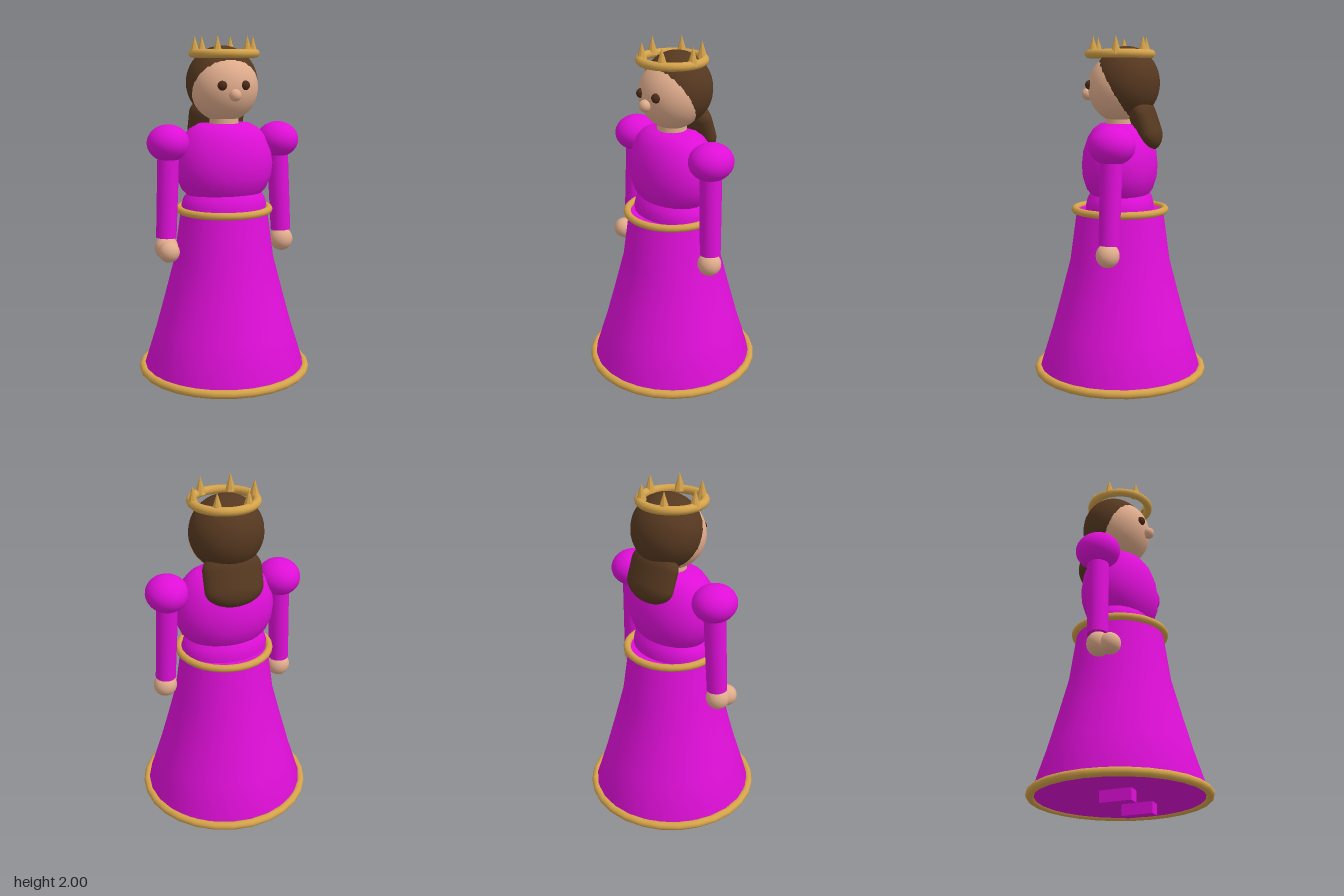
import * as THREE from 'three';
import { toCreasedNormals } from 'three/addons/utils/BufferGeometryUtils.js';

const mat = (name, color) => {
  const m = new THREE.MeshStandardMaterial({ color });
  m.name = name;
  return m;
};

export function createModel() {
  const dress = mat('magenta dress', 0xdf0fd8);
  const gold = mat('gold trim', 0xd4a24a);
  const skin = mat('skin', 0xe0ac8c);
  const brown = mat('brown hair', 0x563820);
  const dark = mat('dark brown eyes', 0x4a2a18);

  const group = new THREE.Group();
  group.name = 'crownedLady';

  const add = (name, geometry, material, x = 0, y = 0, z = 0) => {
    const mesh = new THREE.Mesh(geometry, material);
    mesh.name = name;
    mesh.position.set(x, y, z);
    group.add(mesh);
    return mesh;
  };
  const ellipsoid = (name, material, [x, y, z], [rx, ry, rz], seg = 28) => {
    const mesh = add(name, new THREE.SphereGeometry(1, seg, Math.ceil(seg * 0.7)), material, x, y, z);
    mesh.scale.set(rx, ry, rz);
    return mesh;
  };
  // Revolved profile, flattened front to back by depth
  const lathe = (name, points, depth) => {
    const g = new THREE.LatheGeometry(points.map(p => new THREE.Vector2(...p)), 24);
    g.scale(1, 1, depth);
    return add(name, toCreasedNormals(g, 0.65), dress);
  };
  const ring = (name, radius, tube, y, seg) => {
    const g = new THREE.TorusGeometry(radius, tube, 12, seg).rotateX(Math.PI / 2);
    return add(name, g, gold, 0, y, 0);
  };
  const limb = (name, a, b, ra, rb, material) => {
    const from = new THREE.Vector3(...a), to = new THREE.Vector3(...b);
    const dir = to.clone().sub(from);
    const mesh = add(name, new THREE.CylinderGeometry(rb, ra, dir.length(), 20), material);
    mesh.position.copy(from).addScaledVector(dir, 0.5);
    mesh.quaternion.setFromUnitVectors(new THREE.Vector3(0, 1, 0), dir.normalize());
    return mesh;
  };

  // Gown
  lathe('skirt', [[0, 0.065], [0.475, 0.065], [0.475, 0.08], [0.4, 0.32], [0.345, 0.52], [0.29, 0.73],
    [0.25, 1.02], [0, 1.02]], 1);
  lathe('waist', [[0.25, 1.0], [0.25, 1.05], [0.238, 1.09], [0.205, 1.13], [0, 1.14]], 0.78);
  lathe('bodice', [[0, 1.105], [0.215, 1.105], [0.25, 1.14], [0.28, 1.21], [0.287, 1.28], [0.276, 1.36],
    [0.24, 1.44], [0.2, 1.485], [0.15, 1.512], [0, 1.515]], 0.755);
  ring('hemTrim', 0.481, 0.024, 0.075, 28);
  ring('belt', 0.26, 0.021, 1.02, 32);

  // Arms, hands and shoes
  for (const s of [-1, 1]) {
    const side = s > 0 ? 'left' : 'right';
    ellipsoid(side + 'PuffSleeve', dress, [s * 0.33, 1.41, 0], [0.12, 0.104, 0.128]);
    limb(side + 'Sleeve', [s * 0.328, 1.4, 0], [s * 0.352, 0.875, 0.013], 0.062, 0.058, dress);
    ellipsoid(side + 'Hand', skin, [s * 0.354, 0.817, 0.02], [0.068, 0.068, 0.066], 20);
    add(side + 'Shoe', new THREE.BoxGeometry(0.07, 0.08, 0.18), dress, s * 0.155, 0.04, 0.05);
  }
  ellipsoid('rightHandBall', skin, [-0.357, 0.807, 0.088], [0.06, 0.06, 0.06], 20);

  // Neck, head and face
  limb('neck', [0, 1.46, 0], [0, 1.6, 0], 0.085, 0.08, skin);
  ellipsoid('head', skin, [0, 1.715, 0], [0.195, 0.195, 0.18]);
  ellipsoid('nose', skin, [0, 1.678, 0.187], [0.034, 0.034, 0.034], 16);
  for (const s of [-1, 1])
    ellipsoid(s > 0 ? 'leftEye' : 'rightEye', dark, [s * 0.066, 1.73, 0.162], [0.027, 0.027, 0.027], 16);

  // Hair
  ellipsoid('hairCap', brown, [0, 1.74, -0.037], [0.206, 0.206, 0.19]);
  const fall = add('hairFall', new THREE.CapsuleGeometry(0.1, 0.1, 8, 24), brown, 0, 1.515, -0.146);
  fall.scale.set(1.68, 1.05, 0.76);
  fall.rotation.x = 0.33;

  // Crown with six points
  ring('crownBand', 0.176, 0.024, 1.902, 32);
  for (let i = 0; i < 6; i++) {
    const a = i * Math.PI / 3;
    const cone = toCreasedNormals(new THREE.ConeGeometry(0.031, 0.1, 8), 0.3);
    add('crownPoint', cone, gold, 0.172 * Math.cos(a), 1.95, 0.16 * Math.sin(a));
  }
  return group;
}
